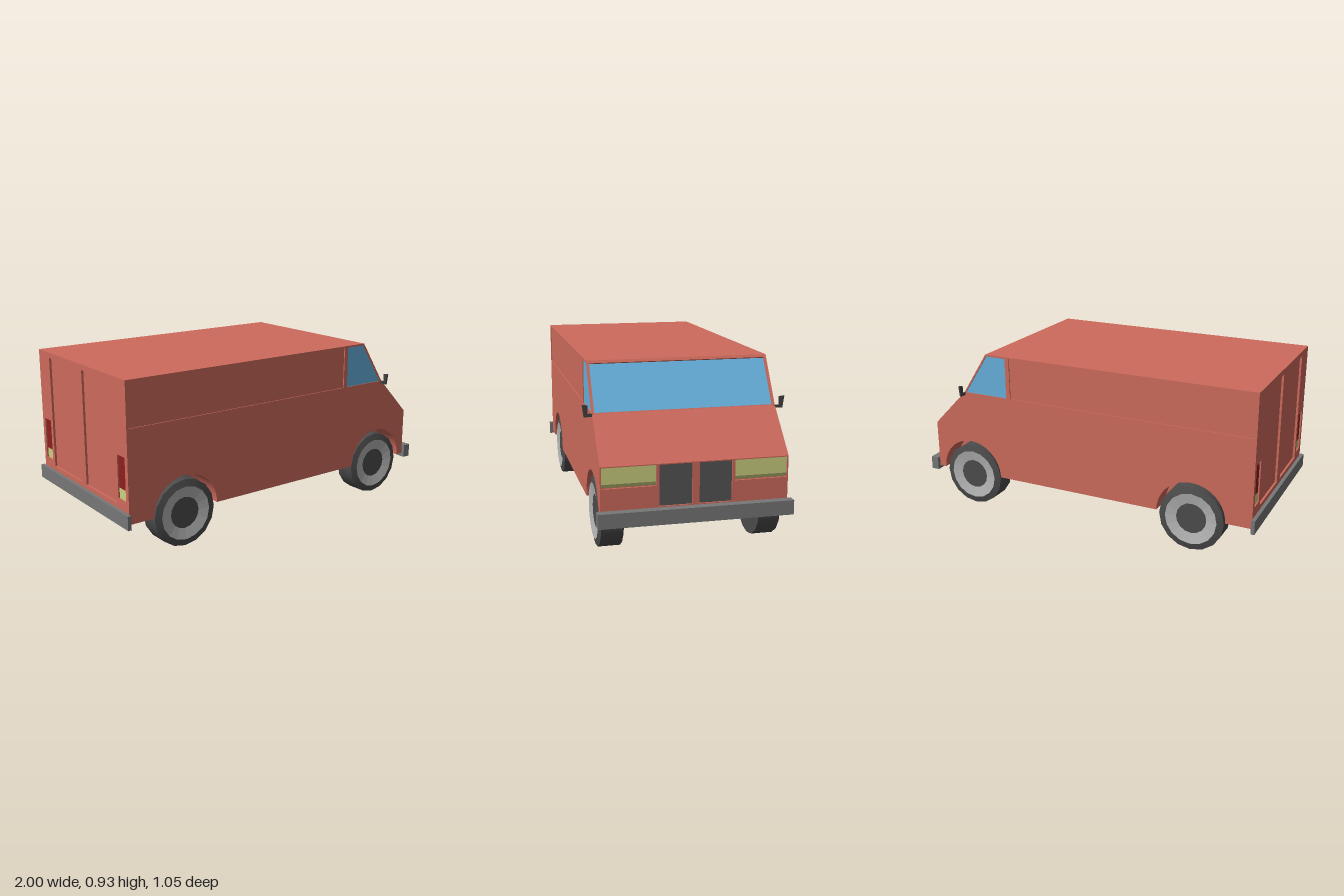
import * as THREE from 'three';

const mat = (color, extra = {}) => new THREE.MeshStandardMaterial({ color, ...extra });
const paint = mat(0xcd6a5c), glass = mat(0x66b0dc), dark = mat(0x404040), grey = mat(0x777777);
const grilleGrey = mat(0x555555), lamp = mat(0xcccf80), red = mat(0x8c1f1f);
const tyre = mat(0x4c4c4c), rim = mat(0xb4b4b4, { flatShading: true });

const HALF = 0.477, SKIN = 0.006, INSET = 0.012, WELL = 0.345;
const AXLES = [-0.645, 0.72];

// Side outlines, counter-clockwise from the lower rear corner
const OUTER = [[-0.98, 0.2], [0.955, 0.2], [0.955, 0.475], [0.745, 0.69], [0.59, 0.93], [-0.98, 0.93]];
const INNER = [[-0.968, 0.2], [0.943, 0.2], [0.943, 0.47], [0.736, 0.682], [0.583, 0.918], [-0.968, 0.918]];
const SIDE_PANEL = [[-0.968, 0.69], [0.44, 0.69], [0.44, 0.92], [-0.968, 0.92]];
const SIDE_WINDOW = [[0.465, 0.69], [0.735, 0.69], [0.585, 0.92], [0.465, 0.92]];

const toPoints = (list) => list.map(([x, y]) => new THREE.Vector2(x, y));
const polygon = (list) => new THREE.Shape(toPoints(list));
const rect = (u0, v0, u1, v1) => [[u0, v0], [u1, v0], [u1, v1], [u0, v1]];

function outline(list, arches) {
  if (!arches) return polygon(list);
  const s = new THREE.Shape();
  s.moveTo(...list[0]);
  for (const x of AXLES) {
    s.lineTo(x - 0.193, 0.2);
    s.absarc(x, 0.2, 0.193, Math.PI, 0, true);
  }
  list.slice(1).forEach((p) => s.lineTo(...p));
  return s;
}

function add(parent, name, geometry, material) {
  const mesh = new THREE.Mesh(geometry, material);
  mesh.name = name;
  parent.add(mesh);
  return mesh;
}

const extrude = (shape, depth, z = 0) =>
  new THREE.ExtrudeGeometry(shape, { depth, bevelEnabled: false, curveSegments: 12 }).translate(0, 0, z);

// Box given by its minimum and maximum corners
function block(parent, name, a, b, material) {
  const g = new THREE.BoxGeometry(b[0] - a[0], b[1] - a[1], b[2] - a[2]);
  g.translate((a[0] + b[0]) / 2, (a[1] + b[1]) / 2, (a[2] + b[2]) / 2);
  return add(parent, name, g, material);
}

// Outer plate across the van along one edge of the outline, with cut-outs
function plate(parent, name, i, holes = []) {
  const a = new THREE.Vector3(...OUTER[i], 0);
  const b = new THREE.Vector3(...OUTER[(i + 1) % OUTER.length], 0);
  const up = b.clone().sub(a), length = up.length();
  up.normalize();
  const out = new THREE.Vector3(up.y, -up.x, 0);
  const across = new THREE.Vector3().crossVectors(up, out);
  const w = HALF - SKIN;
  const shape = polygon(rect(-w, 0, w, length));
  holes.forEach((h) => shape.holes.push(new THREE.Path(toPoints(h))));
  const m = new THREE.Matrix4().makeBasis(across, up, out).setPosition(a);
  add(parent, name, extrude(shape, INSET, -INSET).applyMatrix4(m), paint);
  return m;
}

function makeBody() {
  const body = new THREE.Group();
  body.name = 'body';
  add(body, 'bodyCore', extrude(polygon(INNER), 2 * WELL, -WELL), paint);

  // Side layers with wheel arches, sunk panel and cab window
  for (const s of [1, -1]) {
    const depth = HALF - SKIN - WELL;
    add(body, 'wheelArchSide', extrude(outline(INNER, true), depth, s > 0 ? WELL : -WELL - depth), paint);
    const skin = outline(OUTER, true);
    for (const h of [SIDE_PANEL, SIDE_WINDOW]) skin.holes.push(new THREE.Path(toPoints(h)));
    add(body, 'sideSkin', extrude(skin, SKIN, s > 0 ? HALF - SKIN : -HALF), paint);
    add(body, 'sideWindow', extrude(polygon(SIDE_WINDOW), 0.002, s * (HALF - SKIN) - 0.001), glass);
  }

  // Nose with openings for lamps and grilles (heights measured from the sill)
  const noseHoles = [];
  for (const s of [1, -1]) {
    noseHoles.push(rect(s * 0.2, 0.165, s * 0.47, 0.27), rect(s * 0.018, 0.06, s * 0.185, 0.27));
  }
  plate(body, 'nosePlate', 1, noseHoles);
  plate(body, 'bonnet', 2);
  plate(body, 'roof', 4);

  // Windscreen
  const screen = rect(-0.464, 0.004, 0.464, 0.27);
  const m = plate(body, 'windscreenFrame', 3, [screen]);
  add(body, 'windscreen', extrude(polygon(screen), 0.003, -INSET - 0.001).applyMatrix4(m), glass);

  // Rear with sunk doors and lamp openings (measured down from the roof)
  const rearHoles = [];
  for (const s of [1, -1]) {
    rearHoles.push(rect(s * 0.03, 0.03, s * 0.35, 0.65), rect(s * 0.375, 0.39, s * 0.45, 0.62));
  }
  plate(body, 'rearPlate', 5, rearHoles);
  return body;
}

function makeWheel(x, side) {
  const wheel = new THREE.Group();
  wheel.name = x > 0 ? 'frontWheel' : 'rearWheel';
  const ring = (name, material, ...pts) =>
    add(wheel, name, new THREE.LatheGeometry(toPoints(pts), 16).rotateX(Math.PI / 2), material);
  ring('innerFace', tyre, [0, 0.35], [0.182, 0.35]);
  ring('tread', tyre, [0.182, 0.35], [0.182, 0.463]);
  ring('sidewall', tyre, [0.182, 0.463], [0.145, 0.473]);
  ring('rim', rim, [0.145, 0.473], [0.085, 0.462]);
  ring('hub', tyre, [0.085, 0.462], [0, 0.462]);
  wheel.position.set(x, 0.182, 0);
  if (side < 0) wheel.rotation.y = Math.PI;
  return wheel;
}

// Lamps, grille and mirror of one side; built at +z and turned over for -z
function addFittings(van, s) {
  const span = (a, b) => (s > 0 ? [a, b] : [-b, -a]);
  const box = (name, x0, x1, y0, y1, za, zb, material) => {
    const [z0, z1] = span(za, zb);
    block(van, name, [x0, y0, z0], [x1, y1, z1], material);
  };
  // Headlamp lens with a slanted lower edge
  const lens = polygon([[0.942, 0.365], [0.95, 0.386], [0.95, 0.47], [0.942, 0.47]]);
  add(van, 'headlamp', extrude(lens, 0.27, span(0.2, 0.47)[0]), lamp);
  box('grille', 0.942, 0.946, 0.26, 0.47, 0.018, 0.185, grilleGrey);
  box('tailLamp', -0.972, -0.966, 0.365, 0.54, 0.375, 0.45, red);
  box('reverseLamp', -0.972, -0.966, 0.31, 0.365, 0.375, 0.45, lamp);

  // Wing mirror
  const mirror = polygon([[0.5, 0.675], [0.517, 0.675], [0.526, 0.737], [0.498, 0.733]]);
  const g = extrude(mirror, 0.01, -0.005).rotateY(s > 0 ? -Math.PI / 2 : Math.PI / 2).translate(0.745, 0, 0);
  add(van, 'mirror', g, dark);
  box('mirrorArm', 0.738, 0.748, 0.675, 0.69, 0.47, 0.503, dark);
}

export function createModel() {
  const van = new THREE.Group();
  van.name = 'van';
  van.add(makeBody());
  for (const s of [1, -1]) {
    AXLES.forEach((x) => van.add(makeWheel(x, s)));
    addFittings(van, s);
  }
  block(van, 'frontBumper', [0.955, 0.18, -0.497], [1, 0.255, 0.497], grey);
  block(van, 'rearBumper', [-1, 0.18, -0.497], [-0.98, 0.255, 0.497], grey);
  return van;
}
